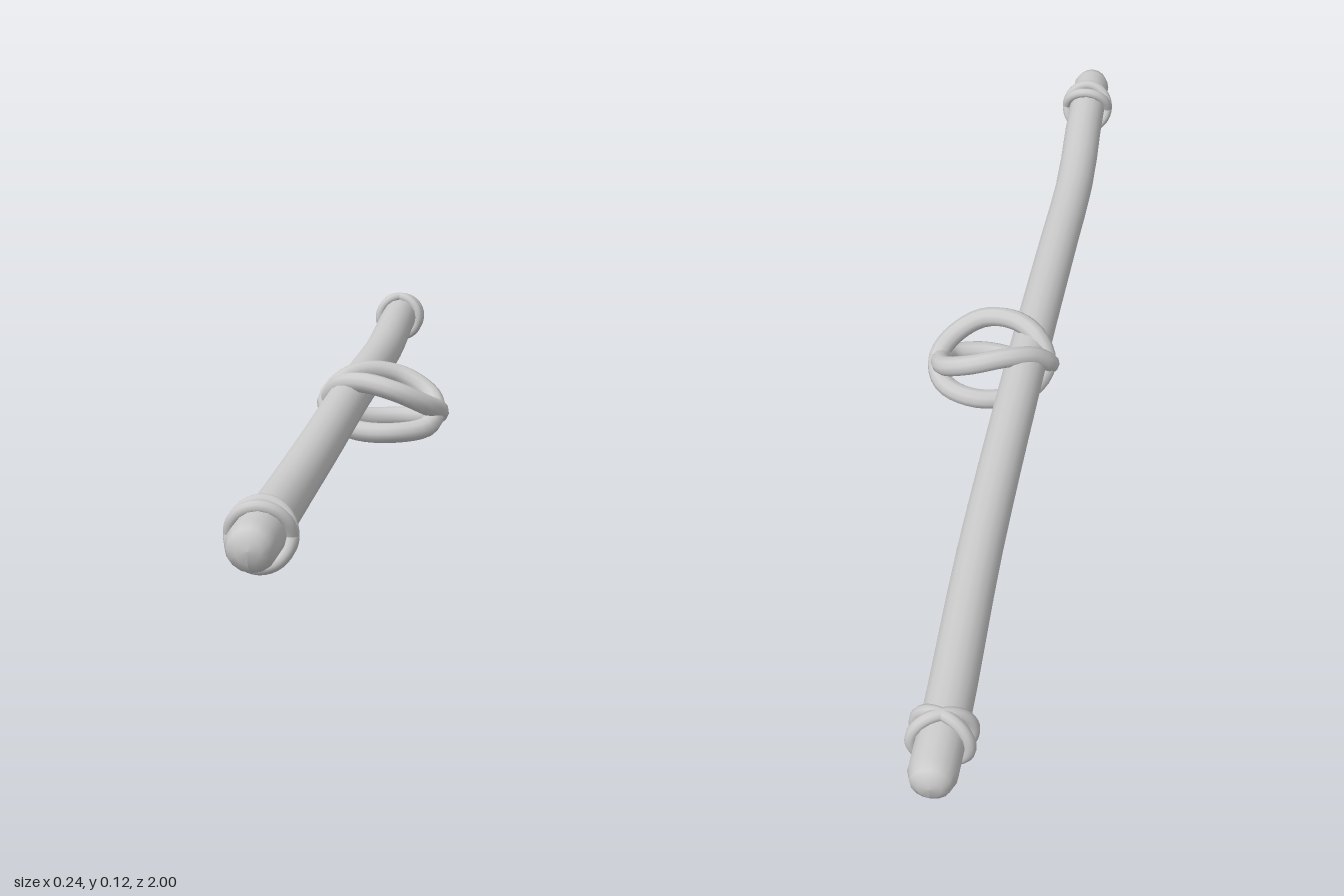
import * as THREE from 'three';

const V = (x, y, z) => new THREE.Vector3(x, y, z);

// Gentle bend of the rod: x and y of its axis along z
const spine = new THREE.CatmullRomCurve3([
  V(-0.065, 0.069, -1), V(-0.065, 0.067, -0.85), V(-0.057, 0.063, -0.5), V(-0.062, 0.066, 0),
  V(-0.068, 0.056, 0.35), V(-0.073, 0.05, 0.62), V(-0.066, 0.064, 0.85), V(-0.065, 0.07, 1),
]);
const spinePoints = spine.getPoints(200);

function axisAt(z) {
  const i = spinePoints.findIndex((p) => p.z >= z);
  if (i <= 0) return spinePoints[i < 0 ? spinePoints.length - 1 : 0];
  const a = spinePoints[i - 1], b = spinePoints[i];
  return a.clone().lerp(b, (z - a.z) / (b.z - a.z));
}

export function createModel() {
  const group = new THREE.Group();
  const material = new THREE.MeshStandardMaterial({ color: 0xcccccc });
  const add = (name, geometry) => {
    const mesh = new THREE.Mesh(geometry, material);
    mesh.name = name;
    group.add(mesh);
    return mesh;
  };
  const cord = (points, radius) =>
    new THREE.TubeGeometry(new THREE.CatmullRomCurve3(points, true), 40, radius, 10, true);

  // Rod with rounded ends, turned along z and bent onto its spine
  const half = [[0, 1], [0.018, 0.998], [0.03, 0.99], [0.037, 0.97]];
  const profile = half.map(([r, y]) => new THREE.Vector2(r, -y));
  for (let z = -0.9; z < 0.91; z += 0.1) profile.push(new THREE.Vector2(0.037, z));
  profile.push(...half.map(([r, y]) => new THREE.Vector2(r, y)).reverse());
  const rod = new THREE.LatheGeometry(profile, 16).rotateX(Math.PI / 2);
  const pos = rod.attributes.position;
  for (let i = 0; i < pos.count; i++) {
    const c = axisAt(pos.getZ(i));
    pos.setXY(i, pos.getX(i) + c.x, pos.getY(i) + c.y);
  }
  rod.computeVertexNormals();
  add('rod', rod);

  // Two mirrored cord loops that wrap the rod and cross at both tips
  for (const s of [1, -1]) {
    const d = s * 0.003;
    add(s > 0 ? 'middleLoopA' : 'middleLoopB', cord([
      V(-0.1 + d, 0.06, 0), V(-0.075, 0.096, 0.03 * s), V(-0.03, 0.107, 0.057 * s),
      V(0.03, 0.095, 0.07 * s), V(0.08, 0.068, 0.046 * s), V(0.098 + d, 0.047, 0),
      V(0.082, 0.027, -0.045 * s), V(0.025, 0.02, -0.069 * s),
      V(-0.04, 0.02, -0.056 * s), V(-0.08, 0.031, -0.03 * s),
    ], 0.018));
  }

  // Crossed cord bindings: the front pair crosses at the sides, the back pair above and below
  for (const end of [1, -1]) {
    const c = axisAt(end * 0.893);
    for (const s of [1, -1]) {
      const points = [];
      for (let i = 0; i < 12; i++) {
        const a = (i / 12) * Math.PI * 2;
        const lean = end > 0 ? Math.sin(a) : Math.cos(a);
        points.push(V(c.x + 0.043 * Math.cos(a), c.y - 0.002 + 0.043 * Math.sin(a),
          end * 0.893 + s * 0.017 * lean));
      }
      add(`${end > 0 ? 'front' : 'back'}Binding${s > 0 ? 'A' : 'B'}`, cord(points, 0.01));
    }
  }
  return group;
}
